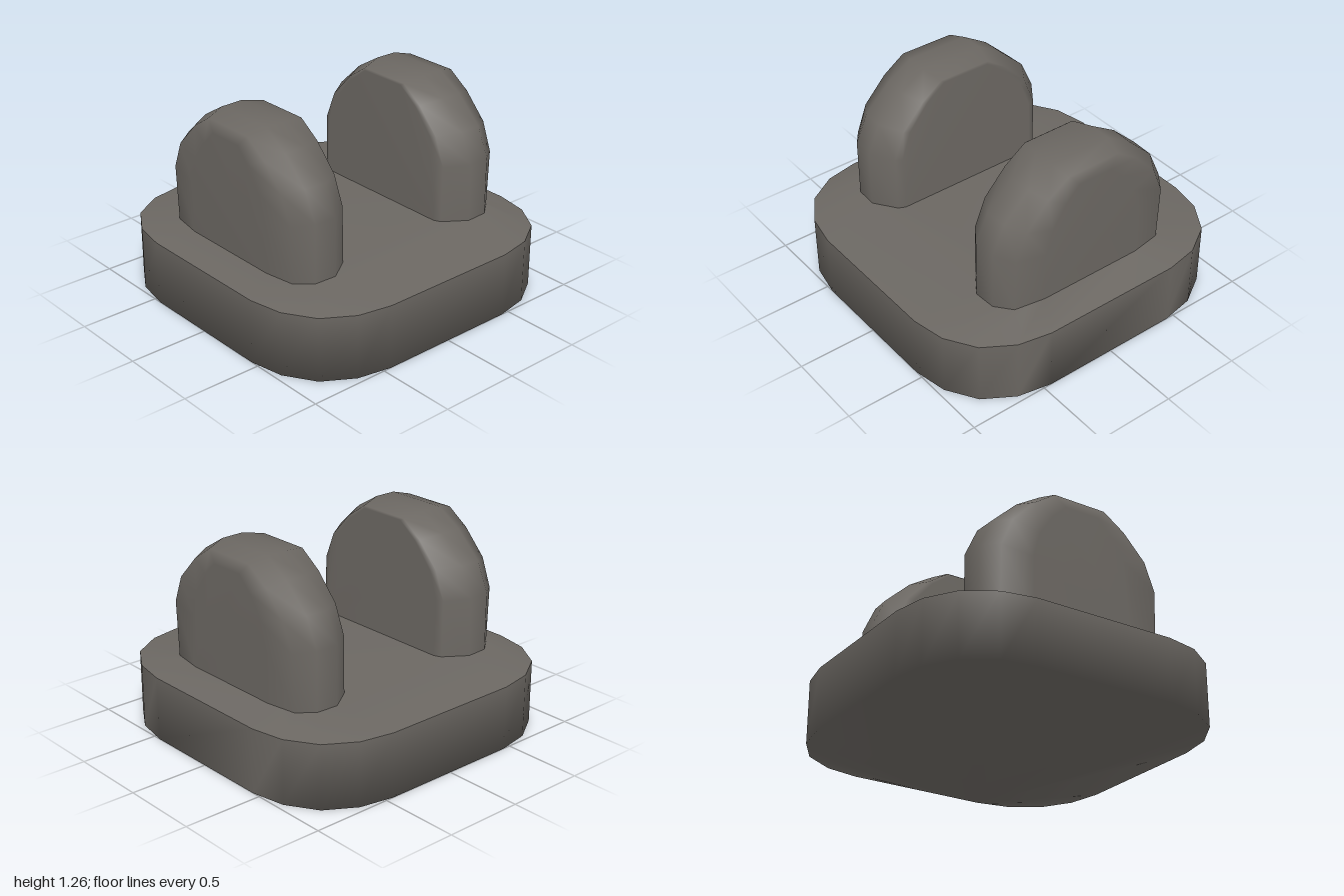
import * as THREE from 'three';

// Skins a list of equal-length rings with shared (smooth) vertices
function loft(rings, { closed = true, capStart = false, capEnd = false } = {}) {
  const n = rings[0].length, index = [];
  for (let i = 0; i < rings.length - 1; i++) {
    for (let k = 0; k < (closed ? n : n - 1); k++) {
      const a = i * n + k, b = i * n + (k + 1) % n;
      index.push(a, a + n, b, b, a + n, b + n);
    }
  }
  const last = (rings.length - 1) * n;
  for (let k = 1; k < n - 1; k++) {
    if (capStart) index.push(0, k, k + 1);
    if (capEnd) index.push(last, last + k + 1, last + k);
  }
  const geometry = new THREE.BufferGeometry();
  geometry.setAttribute('position', new THREE.Float32BufferAttribute(rings.flat(2), 3));
  geometry.setIndex(index);
  geometry.computeVertexNormals();
  return geometry;
}

// Mirrors one corner of (x, z) points into a full outline at height y
function outline(corner, y) {
  const quarter = (sx, sz) => corner.map(([x, z]) => [x * sx, y, z * sz]);
  return [...quarter(1, 1), ...quarter(-1, 1).reverse(), ...quarter(-1, -1), ...quarter(1, -1).reverse()];
}

const RIM = [[1, 0.45], [0.96, 0.66], [0.845, 0.845], [0.66, 0.96], [0.45, 1]];
const CROWN = [[0.8, 0.34], [0.785, 0.45], [0.765, 0.535], [0.67, 0.615], [0.53, 0.622]];
const DECK = 0.453;

// Half of the lug's arch as (z, y), from deck to top
const ARCH = [[0.622, DECK], [0.622, 0.82], [0.54, 1.0], [0.37, 1.16], [0.205, 1.26]];
// Lug slices from inner to outer face: x at deck, x at top, half depth, top height
const SLICES = [
  [0.37, 0.383, 0.48, 1.225],
  [0.39, 0.395, 0.525, 1.235],
  [0.53, 0.53, 0.622, 1.26],
  [0.67, 0.67, 0.615, 1.26],
  [0.768, 0.785, 0.535, 1.23],
  [0.8, 0.803, 0.34, 1.16],
];

function lugGeometry(side) {
  const rings = SLICES.map(([xLow, xHigh, depth, top]) => {
    const half = ARCH.map(([z, y]) => {
      const t = (y - DECK) / (1.26 - DECK);
      const x = xLow + (xHigh - xLow) * Math.min(1, t * 1.6);
      return [x * side, DECK + t * (top - DECK), z * depth / 0.622];
    });
    return [...half, ...half.map(([x, y, z]) => [x, y, -z]).reverse()];
  });
  if (side < 0) rings.reverse();
  return loft(rings, { closed: false, capStart: true, capEnd: true });
}

export function createModel() {
  const model = new THREE.Group();
  model.name = 'twinLugBracket';
  const darkGrey = new THREE.MeshStandardMaterial({ color: 0x6b6762 });
  darkGrey.name = 'darkGrey';

  const add = (name, geometry) => {
    const mesh = new THREE.Mesh(geometry, darkGrey);
    mesh.name = name;
    model.add(mesh);
  };

  // Base block: wall and underside share soft normals, deck is creased off
  add('baseBlock', loft([outline(RIM, 0), outline(RIM, 0.4)], { capStart: true }));
  add('baseDeck', loft([outline(RIM, 0.4), outline(CROWN, DECK)], { capEnd: true }));

  // Pair of upright rounded lugs
  add('leftLug', lugGeometry(1));
  add('rightLug', lugGeometry(-1));

  return model;
}
